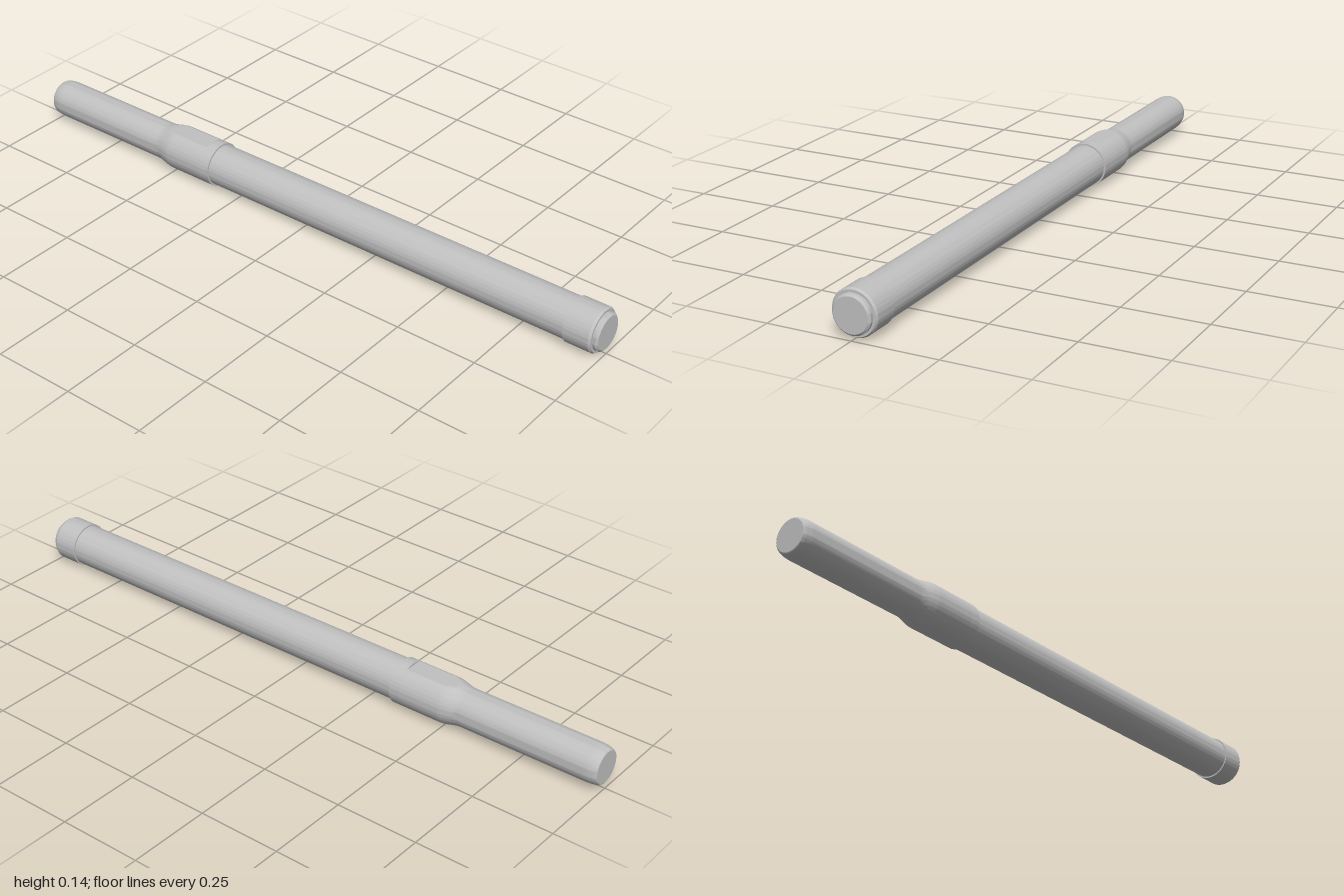
import * as THREE from 'three';
import { toCreasedNormals } from 'three/addons/utils/BufferGeometryUtils.js';

const AXIS_Y = 0.068; // height of the long axis
const FLAT = 0.0615;  // height of the shallow flat above the axis

export function createModel() {
  const group = new THREE.Group();
  const metal = new THREE.MeshStandardMaterial({ color: 0xc0c0c0 });
  metal.name = 'light grey';

  // Turned part along x from [x, radius] points, optionally planed flat on top
  function turned(name, points, flatTop = Infinity) {
    const profile = points.map(([x, r]) => new THREE.Vector2(r, x));
    const geometry = new THREE.LatheGeometry(profile, 72).rotateZ(-Math.PI / 2);
    const pos = geometry.attributes.position;
    for (let i = 0; i < pos.count; i++) pos.setY(i, Math.min(pos.getY(i), flatTop));
    const mesh = new THREE.Mesh(toCreasedNormals(geometry, 0.35), metal);
    mesh.name = name;
    mesh.position.y = AXIS_Y;
    group.add(mesh);
  }

  // Grip with a rounded end
  const grip = [[-1, 0]];
  for (let i = 0; i <= 6; i++) {
    const a = (i / 6) * Math.PI / 2;
    grip.push([-0.96 - 0.04 * Math.cos(a), 0.047 + 0.01 * Math.sin(a)]);
  }
  turned('grip', [...grip, [-0.5, 0.057]]);

  // Flared collar, planed on top, with a full lip at its mouth
  const flare = [];
  for (let i = 0; i <= 8; i++) {
    const t = i / 8;
    flare.push([-0.56 + 0.065 * t, 0.057 + 0.011 * t * t * (3 - 2 * t)]);
  }
  turned('collar', [...flare, [-0.37, 0.068]], FLAT);
  turned('collarLip', [[-0.37, 0.056], [-0.37, 0.068], [-0.337, 0.068], [-0.337, 0.06]]);

  // Long barrel
  turned('barrel', [[-0.345, 0.0625], [0.91, 0.0625]]);

  // End cap with a chamfered rim
  turned('endCap', [[0.9, 0.06], [0.9, 0.067], [0.978, 0.067], [0.985, 0.063], [0.985, 0.05]]);

  // Plug in the cap
  turned('endPlug', [[0.98, 0.056], [0.994, 0.056], [1, 0.05], [1, 0]]);

  return group;
}
